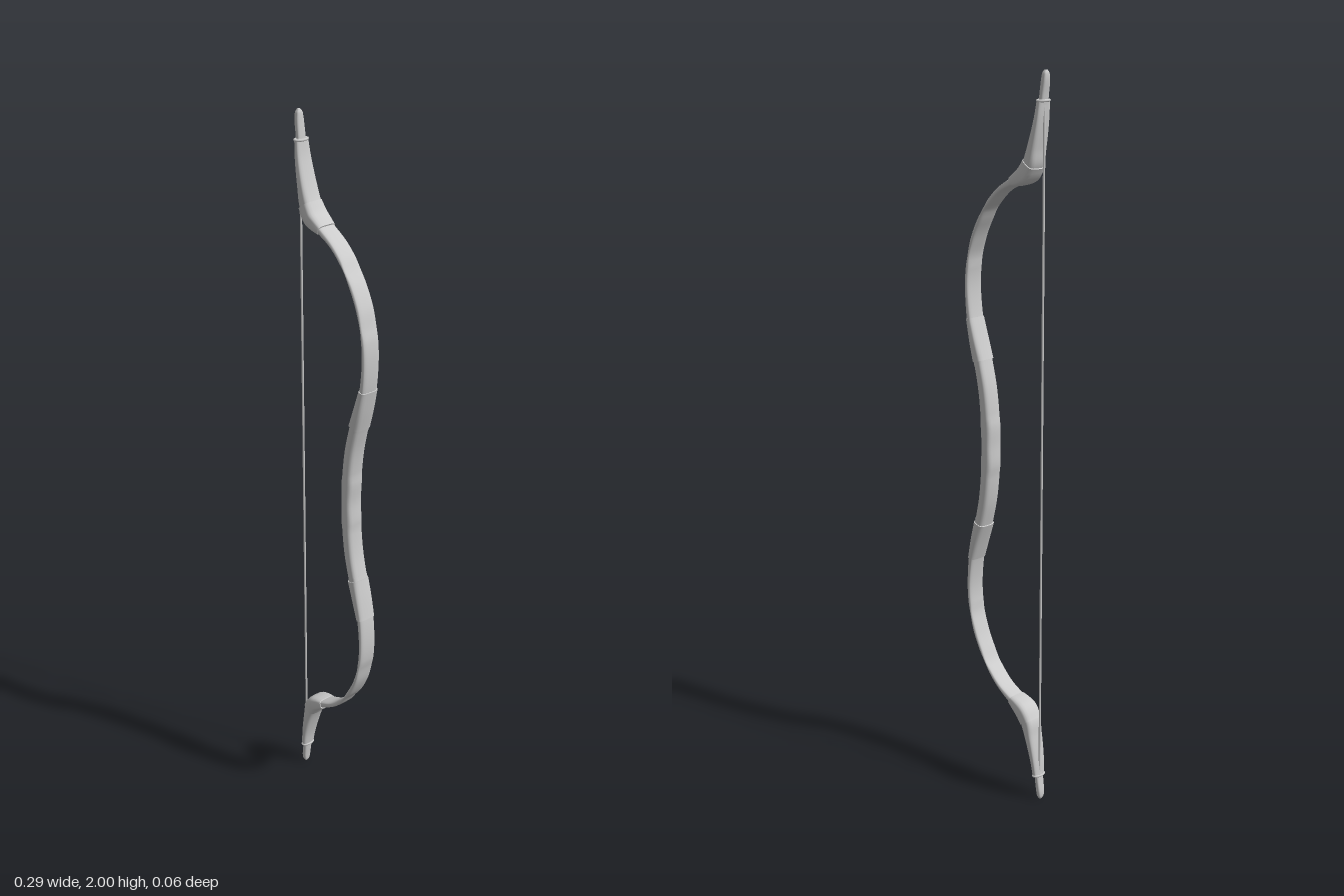
import * as THREE from 'three';

const material = new THREE.MeshStandardMaterial({ color: 0xcccccc });

// Sweep a rounded-box section along stations [x, y, thickness, width] lying in the XY plane
function sweep(name, stations, steps, power = 0.6, sides = 20) {
  const path = new THREE.CatmullRomCurve3(stations.map(s => new THREE.Vector3(s[0], s[1], 0)));
  const size = new THREE.CatmullRomCurve3(stations.map(s => new THREE.Vector3(s[2], s[3], 0)));
  const pos = [], idx = [];
  const soft = v => Math.sign(v) * Math.pow(Math.abs(v), power);
  const addRing = t => {
    const p = path.getPoint(t), d = path.getTangent(t), s = size.getPoint(t);
    for (let j = 0; j < sides; j++) {
      const a = (j / sides) * Math.PI * 2;
      const u = soft(Math.cos(a)) * s.x / 2, w = soft(Math.sin(a)) * s.y / 2;
      pos.push(p.x + d.y * u, p.y - d.x * u, w);
    }
    return p;
  };
  for (let i = 0; i <= steps; i++) addRing(i / steps);
  for (let i = 0; i < steps; i++) {
    for (let j = 0; j < sides; j++) {
      const k = (j + 1) % sides;
      const a = i * sides + j, b = i * sides + k, c = a + sides, d = b + sides;
      idx.push(a, c, b, b, c, d);
    }
  }
  // Flat end caps with their own vertices
  for (const t of [0, 1]) {
    const base = pos.length / 3;
    const p = addRing(t);
    pos.push(p.x, p.y, 0);
    for (let j = 0; j < sides; j++) {
      const a = base + j, b = base + (j + 1) % sides, c = base + sides;
      if (t === 0) idx.push(c, a, b); else idx.push(c, b, a);
    }
  }
  const geo = new THREE.BufferGeometry();
  geo.setAttribute('position', new THREE.Float32BufferAttribute(pos, 3));
  geo.setIndex(idx);
  geo.computeVertexNormals();
  const mesh = new THREE.Mesh(geo, material);
  mesh.name = name;
  return mesh;
}

// One half of the bow, measured upward from the grip centre
function createArm(name) {
  const arm = new THREE.Group();
  arm.name = name;

  // Springy curved limb
  arm.add(sweep('limb', [
    [0.094, 0.22, 0.03, 0.052], [0.112, 0.28, 0.025, 0.052], [0.127, 0.345, 0.019, 0.052],
    [0.134, 0.43, 0.014, 0.052], [0.129, 0.49, 0.013, 0.052], [0.112, 0.555, 0.013, 0.052],
    [0.085, 0.61, 0.013, 0.052], [0.05, 0.66, 0.013, 0.052], [0.01, 0.697, 0.015, 0.052],
    [-0.035, 0.722, 0.021, 0.053], [-0.065, 0.737, 0.028, 0.053],
  ], 48));

  // Wrapped collar between grip and limb
  arm.add(sweep('gripCollar', [
    [0.095, 0.232, 0.038, 0.057], [0.111, 0.285, 0.031, 0.058], [0.127, 0.344, 0.023, 0.056],
  ], 12));

  // Wrapped collar at the bend
  arm.add(sweep('bendCollar', [
    [-0.036, 0.723, 0.028, 0.056], [-0.056, 0.732, 0.039, 0.061],
    [-0.078, 0.745, 0.046, 0.064], [-0.097, 0.772, 0.044, 0.06],
  ], 14));

  // Stiff recurved end
  arm.add(sweep('recurveEnd', [
    [-0.084, 0.752, 0.04, 0.055], [-0.097, 0.775, 0.039, 0.055], [-0.107, 0.81, 0.03, 0.053],
    [-0.117, 0.85, 0.024, 0.049], [-0.125, 0.89, 0.019, 0.044], [-0.13, 0.93, 0.016, 0.038],
  ], 24));

  // Narrow nock tip, rounded at the end
  arm.add(sweep('nockTip', [
    [-0.129, 0.91, 0.014, 0.026], [-0.133, 0.945, 0.015, 0.025],
    [-0.137, 0.975, 0.016, 0.023], [-0.138, 0.992, 0.014, 0.018], [-0.138, 1.0, 0.007, 0.008],
  ], 18));

  // String loop around the nock
  const loop = new THREE.Mesh(new THREE.TorusGeometry(0.012, 0.0035, 8, 24), material);
  loop.name = 'stringLoop';
  loop.rotation.x = Math.PI / 2;
  loop.scale.set(0.85, 1.45, 1);
  loop.position.set(-0.13, 0.927, 0);
  arm.add(loop);
  return arm;
}

export function createModel() {
  const bow = new THREE.Group();
  bow.name = 'recurveBow';

  // Handle grip, bowed toward the string
  bow.add(sweep('grip', [
    [0.096, 0.765, 0.032, 0.052], [0.078, 0.84, 0.034, 0.052], [0.068, 0.92, 0.035, 0.052],
    [0.065, 1, 0.035, 0.052],
    [0.068, 1.08, 0.035, 0.052], [0.078, 1.16, 0.034, 0.052], [0.096, 1.235, 0.032, 0.052],
  ], 36));

  // Upper arm and its flipped copy below
  const upper = createArm('upperArm');
  const lower = createArm('lowerArm');
  upper.position.y = 1;
  lower.position.y = 1;
  lower.rotation.x = Math.PI;
  bow.add(upper, lower);

  // Bowstring
  const string = new THREE.Mesh(new THREE.CylinderGeometry(0.003, 0.003, 1.85, 8), material);
  string.name = 'bowstring';
  string.position.set(-0.134, 1, 0);
  bow.add(string);
  return bow;
}
